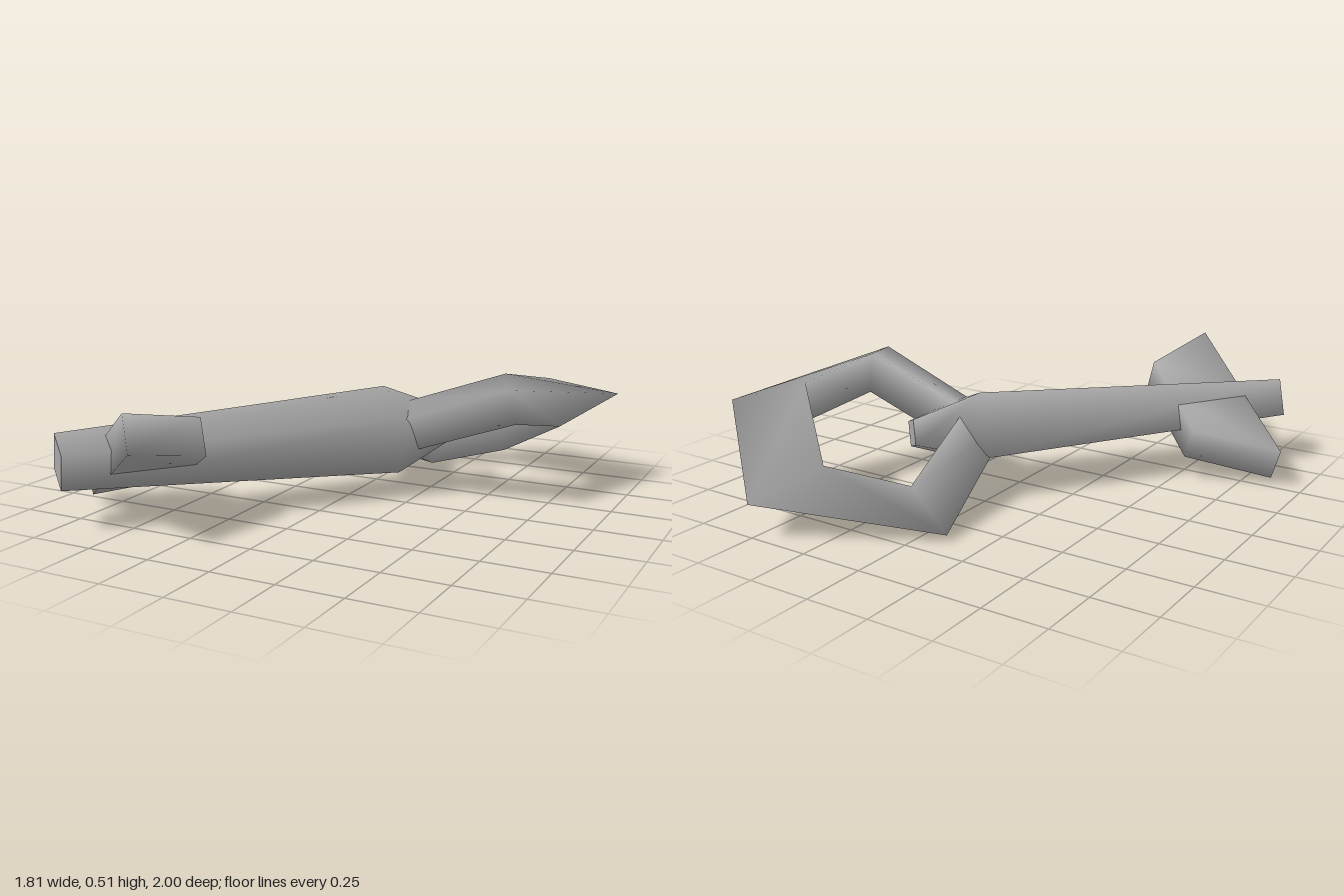
import * as THREE from 'three';
import { mergeVertices } from 'three/addons/utils/BufferGeometryUtils.js';

export function createModel() {
  const grey = new THREE.MeshStandardMaterial({ color: 0xa8a8a8 });
  grey.name = 'grey';

  const model = new THREE.Group();
  model.name = 'model';
  // everything is built level and pointing to -z, then rolled and turned
  const body = new THREE.Group();
  body.name = 'body';
  body.rotation.set(0, -0.691, 0.437, 'YXZ');
  body.position.y = 0.24;
  model.add(body);

  const add = (name, geometry) => {
    const mesh = new THREE.Mesh(geometry, grey);
    mesh.name = name;
    body.add(mesh);
    return mesh;
  };

  // four-sided shaft, swelling toward the front and pinched at the nose
  const profile = [[0.107, -1.142], [0.18, 0.185], [0.07, 0.44]].map(p => new THREE.Vector2(...p));
  add('shaft', new THREE.LatheGeometry(profile, 4).rotateX(-Math.PI / 2));
  add('rearCap', new THREE.CircleGeometry(0.107, 4)).position.z = 1.142;
  add('frontCap', new THREE.CircleGeometry(0.07, 4).rotateY(Math.PI)).position.z = -0.44;

  // five-cornered ring with a wedge section: sharp outer rim, upright inner wall
  // each corner: outer x, outer forward, inner x, inner forward
  const corners = [
    [0, 0.045, 0, 0.236],
    [0.543, 0.428, 0.38, 0.53],
    [0.286, 1.096, 0.232, 0.82],
    [-0.286, 1.096, -0.232, 0.82],
    [-0.543, 0.428, -0.38, 0.53],
  ];
  const positions = [], index = [];
  corners.forEach(([ox, of, ix, inf], i) => {
    positions.push(ox, 0, -of, ix, 0.102, -inf, ix, -0.102, -inf);
    const next = (i + 1) % corners.length;
    for (let j = 0; j < 3; j++) {
      const k = (j + 1) % 3;
      const a = i * 3 + j, b = i * 3 + k, c = next * 3 + j, d = next * 3 + k;
      index.push(a, c, b, b, c, d);
    }
  });
  const ring = new THREE.BufferGeometry();
  ring.setAttribute('position', new THREE.Float32BufferAttribute(positions, 3));
  ring.setIndex(index);
  ring.computeVertexNormals();
  add('ring', ring);

  // thick swept fins, longer along the trailing edge
  for (const side of [1, -1]) {
    let fin = new THREE.BoxGeometry(1, 0.145, 0.314);
    const pos = fin.attributes.position;
    for (let i = 0; i < pos.count; i++) {
      const span = pos.getZ(i) > 0 ? 0.388 : 0.217;
      const outer = pos.getX(i) * side > 0;
      pos.setX(i, outer ? side * span : 0);
    }
    fin.deleteAttribute('normal');
    fin.deleteAttribute('uv');
    fin = mergeVertices(fin);
    fin.computeVertexNormals();
    add(side > 0 ? 'leftFin' : 'rightFin', fin).position.z = 0.81;
  }

  return model;
}
